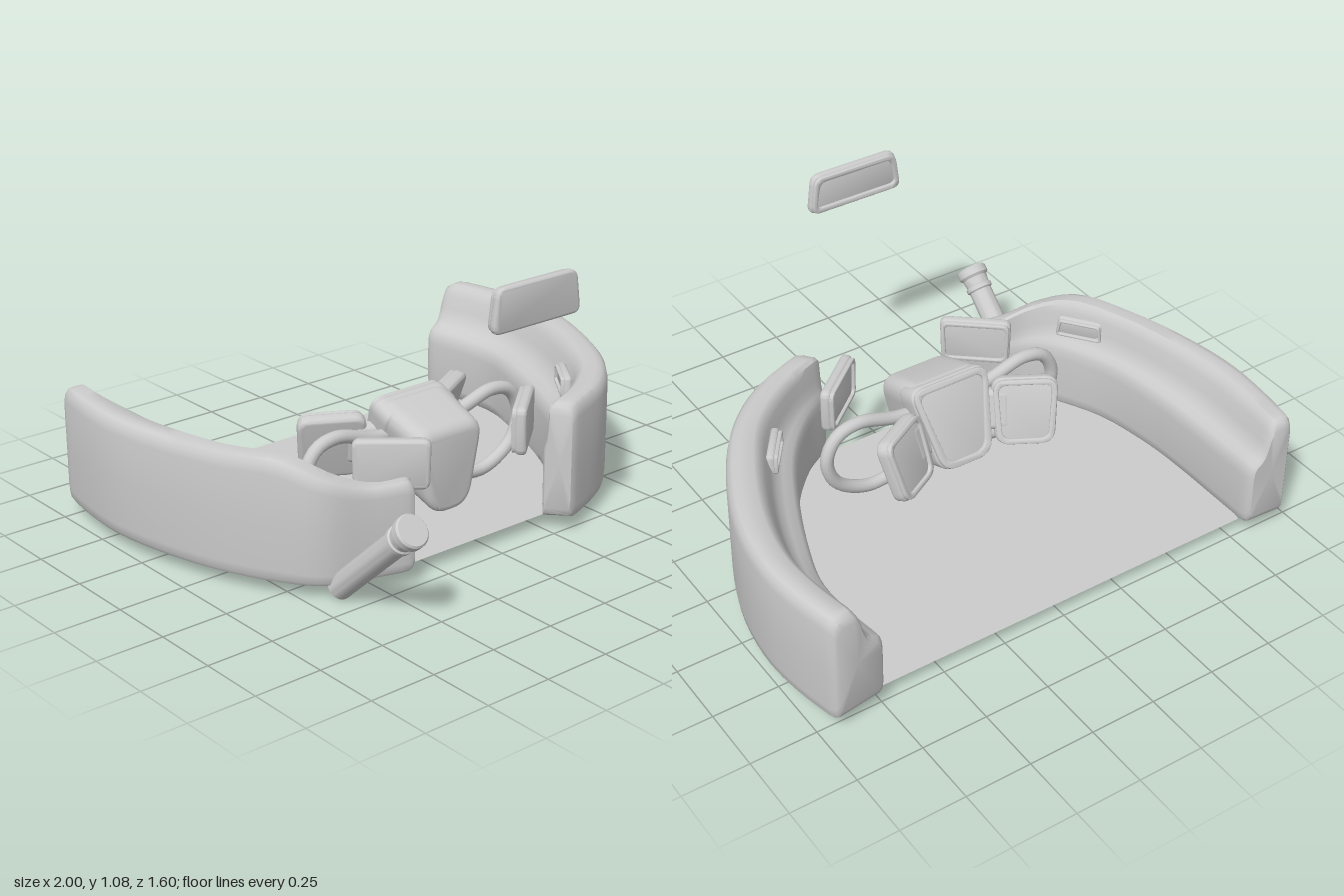
import * as THREE from 'three';
import { toCreasedNormals } from 'three/addons/utils/BufferGeometryUtils.js';
import { RoundedBoxGeometry } from 'three/addons/geometries/RoundedBoxGeometry.js';

const grey = new THREE.MeshStandardMaterial({ color: 0xcccccc });
const greyThin = new THREE.MeshStandardMaterial({ color: 0xcccccc, side: THREE.DoubleSide });
const CX = -0.06; // centre line of the steering column

function part(parent, name, geometry, material = grey) {
  const mesh = new THREE.Mesh(geometry, material);
  mesh.name = name;
  parent.add(mesh);
  return mesh;
}

// Rounded trapezoid outline centred on the origin
function trapezoid(wTop, wBottom, h, r, Type = THREE.Shape) {
  const p = [[-wBottom, -h], [wBottom, -h], [wTop, h], [-wTop, h]]
    .map(([x, y]) => new THREE.Vector2(x / 2, y / 2));
  const shape = new Type();
  p.forEach((c, i) => {
    const toward = (q) => c.clone().add(q.clone().sub(c).setLength(r));
    const a = toward(p[(i + 3) % 4]), b = toward(p[(i + 1) % 4]);
    if (i) shape.lineTo(a.x, a.y); else shape.moveTo(a.x, a.y);
    shape.quadraticCurveTo(c.x, c.y, b.x, b.y);
  });
  shape.closePath();
  return shape;
}

function extrude(shape, depth, bevel) {
  return toCreasedNormals(new THREE.ExtrudeGeometry(shape, {
    depth: depth - 2 * bevel, bevelThickness: bevel, bevelSize: bevel, bevelOffset: -bevel,
    bevelSegments: 4, curveSegments: 8,
  }).translate(0, 0, bevel), 0.6);
}

// Panel with a raised frame around a sunk face looking toward -z
function framedPanel(name, wTop, wBottom, h, r, depth, rim) {
  const group = new THREE.Group();
  group.name = name;
  part(group, 'panelBody', extrude(trapezoid(wTop, wBottom, h, r), depth, Math.min(0.015, depth / 3)));
  const frame = trapezoid(wTop - 0.01, wBottom - 0.01, h - 0.01, r);
  frame.holes.push(trapezoid(wTop - rim * 2, wBottom - rim * 2, h - rim * 2, r * 0.7, THREE.Path));
  part(group, 'panelFrame', extrude(frame, 0.022, 0.004)).position.z = -0.012;
  return group;
}

// Wall section: [0 outer .. 1 inner, 0 bottom .. 1 top]
const section = [
  [0.06, 0], [0.015, 0.03], [0, 0.1], [0, 0.5], [0, 0.88], [0.03, 0.95], [0.1, 0.99], [0.2, 1],
  [0.42, 1], [0.5, 0.97], [0.57, 0.9], [0.63, 0.79], [0.7, 0.7], [0.8, 0.65], [0.92, 0.61],
  [0.98, 0.56], [1, 0.48], [1, 0.1], [0.98, 0.03], [0.92, 0],
];

// Lofted wall; stations are [outerX, outerZ, innerX, innerZ, ridge, topY]
function wallGeometry(stations) {
  const curve = (f) => new THREE.CatmullRomCurve3(stations.map(f));
  const outer = curve((s) => new THREE.Vector3(s[0], s[5], s[1]));
  const inner = curve((s) => new THREE.Vector3(s[2], s[4], s[3]));
  const ts = [0, 0.006, 0.018, 0.035];
  for (let i = 1; i < 28; i++) ts.push(0.035 + 0.93 * i / 28);
  ts.push(0.965, 0.982, 0.994, 1);
  const endScale = [0.82, 0.93, 0.985, 1];
  const pos = [], idx = [], n = section.length, bottom = 0.052;
  const centres = [];
  ts.forEach((t, k) => {
    const o = outer.getPoint(t), q = inner.getPoint(t), ridge = q.y;
    const shrink = endScale[Math.min(k, ts.length - 1 - k, 3)];
    const c = new THREE.Vector3(o.x * 0.55 + q.x * 0.45, bottom + (o.y - bottom) * 0.48, o.z * 0.55 + q.z * 0.45);
    centres.push(c);
    section.forEach(([u, v]) => {
      const f = u < 0.5 ? u * 2 * ridge : ridge + (u - 0.5) * 2 * (1 - ridge);
      const p = new THREE.Vector3(o.x + (q.x - o.x) * f, bottom + (o.y - bottom) * v, o.z + (q.z - o.z) * f);
      p.sub(c).multiplyScalar(shrink).add(c);
      pos.push(p.x, p.y, p.z);
    });
  });
  const last = ts.length - 1, capA = pos.length / 3;
  for (const c of [centres[0], centres[last]]) pos.push(c.x, c.y, c.z);
  for (let j = 0; j < n; j++) {
    const j2 = (j + 1) % n;
    for (let k = 0; k < last; k++) {
      const a = k * n + j, b = k * n + j2;
      idx.push(a, b, a + n, b, b + n, a + n);
    }
    idx.push(capA, j2, j, capA + 1, last * n + j, last * n + j2);
  }
  // Turn the faces outward whichever side the wall is on
  let volume = 0;
  const v = (i) => new THREE.Vector3().fromArray(pos, i * 3);
  for (let i = 0; i < idx.length; i += 3) volume += v(idx[i]).dot(v(idx[i + 1]).cross(v(idx[i + 2])));
  if (volume < 0) idx.reverse();
  const g = new THREE.BufferGeometry();
  g.setAttribute('position', new THREE.Float32BufferAttribute(pos, 3));
  g.setIndex(idx);
  return toCreasedNormals(g, 0.7);
}

export function createModel() {
  const model = new THREE.Group();
  model.name = 'cockpit';

  // Curved side walls
  part(model, 'leftWall', wallGeometry([
    [0.95, -0.80, 0.74, -0.77, 0.46, 0.49], [0.99, -0.6, 0.765, -0.58, 0.46, 0.49],
    [1, -0.42, 0.765, -0.42, 0.46, 0.49], [0.96, -0.18, 0.71, -0.24, 0.46, 0.49],
    [0.85, 0.08, 0.61, 0, 0.47, 0.49], [0.72, 0.28, 0.5, 0.2, 0.5, 0.49],
    [0.55, 0.43, 0.37, 0.35, 0.65, 0.49], [0.30, 0.54, 0.23, 0.45, 0.85, 0.49],
  ]));
  part(model, 'rightWall', wallGeometry([
    [-0.96, -0.79, -0.79, -0.78, 0.5, 0.49], [-0.99, -0.6, -0.79, -0.58, 0.5, 0.49],
    [-1, -0.42, -0.79, -0.4, 0.5, 0.49], [-0.97, -0.2, -0.78, -0.2, 0.52, 0.49],
    [-0.9, 0.05, -0.74, 0.03, 0.55, 0.49], [-0.8, 0.26, -0.65, 0.22, 0.6, 0.49],
    [-0.7, 0.385, -0.585, 0.335, 0.75, 0.43], [-0.55, 0.44, -0.48, 0.385, 0.85, 0.38],
    [-0.39, 0.49, -0.35, 0.42, 0.88, 0.38],
  ]));

  // Flat floor
  const floor = new THREE.Shape();
  floor.moveTo(-0.8, -0.73);
  floor.lineTo(0.76, -0.73);
  floor.splineThru([[0.82, -0.45], [0.77, -0.12], [0.62, 0.16], [0.4, 0.43]].map((p) => new THREE.Vector2(...p)));
  floor.lineTo(-0.5, 0.43);
  floor.splineThru([[-0.7, 0.26], [-0.82, 0], [-0.86, -0.4], [-0.8, -0.73]].map((p) => new THREE.Vector2(...p)));
  part(model, 'floor', new THREE.ShapeGeometry(floor, 10).rotateX(Math.PI / 2), greyThin).position.y = 0.05;

  // Steering wheel: two side loops meeting at the hub
  const half = [[0.18, 0.38], [0.36, 0.425], [0.45, 0.4], [0.495, 0.31], [0.46, 0.2], [0.33, 0.125], [0.15, 0.14]];
  const rim = [...half, ...half.map(([x, y]) => [-x, y]).reverse()]
    .map(([x, y]) => new THREE.Vector3(CX + x, y, 0.105));
  part(model, 'steeringWheel', new THREE.TubeGeometry(new THREE.CatmullRomCurve3(rim, true), 90, 0.025, 12, true));

  // Steering column, tapering and dropping toward the front
  const column = new THREE.ExtrudeGeometry(trapezoid(0.35, 0.2, 0.32, 0.085), {
    depth: 0.16, bevelThickness: 0.03, bevelSize: 0.03, bevelOffset: -0.03, bevelSegments: 5, curveSegments: 10,
  }).translate(0, 0, 0.03);
  const cp = column.attributes.position;
  for (let i = 0; i < cp.count; i++) {
    const t = cp.getZ(i) / 0.22;
    cp.setXY(i, cp.getX(i) * (1 - 0.1 * t), cp.getY(i) - 0.08 * t);
  }
  part(model, 'steeringColumn', toCreasedNormals(column, 0.6)).position.set(CX, 0.345, 0.08);

  // Centre display
  const display = framedPanel('centreDisplay', 0.34, 0.22, 0.34, 0.06, 0.1, 0.03);
  display.position.set(CX, 0.35, 0);
  display.rotation.x = 0.4;
  model.add(display);

  for (const s of [-1, 1]) {
    const side = s > 0 ? 'left' : 'right';
    // Angled side displays with their arms
    const wing = framedPanel(side + 'Display', 0.25, 0.22, 0.26, 0.05, 0.05, 0.025);
    wing.position.set(CX + s * 0.25, 0.33, -0.07);
    wing.rotation.set(0.3, s * 0.52, 0, 'YXZ');
    model.add(wing);
    const arm = part(model, side + 'DisplayArm', new RoundedBoxGeometry(0.16, 0.16, 0.06, 4, 0.025));
    arm.position.set(CX + s * 0.15, 0.33, 0.02);
    arm.rotation.set(0.3, s * 0.5, 0, 'YXZ');

    // Slanted pads in front of the wheel
    const pad = framedPanel(side + 'Pad', 0.27, 0.26, 0.18, 0.03, 0.04, 0.02);
    pad.position.set(CX + s * 0.295, 0.39, 0.325);
    pad.rotation.y = s * 0.7;
    model.add(pad);
  }

  // Vents on the inner slopes of the walls
  for (const [name, x, turn] of [['leftVent', 0.605, 0.94], ['rightVent', -0.72, -0.93]]) {
    const vent = framedPanel(name, 0.17, 0.19, 0.08, 0.012, 0.03, 0.015);
    vent.position.set(x, 0.4, 0.155);
    vent.rotation.y = turn;
    model.add(vent);
  }

  // Floating mirror
  const mirror = framedPanel('mirror', 0.35, 0.39, 0.155, 0.035, 0.03, 0.025);
  mirror.position.set(-0.07, 1.0, 0.697);
  model.add(mirror);

  // Leaning post with a collar and a flanged cap
  const post = part(model, 'post', toCreasedNormals(new THREE.LatheGeometry([
    [0, 0], [0.045, 0], [0.045, 0.41], [0.052, 0.415], [0.052, 0.43], [0.046, 0.435], [0.05, 0.465],
    [0.06, 0.475], [0.06, 0.5], [0.054, 0.507], [0, 0.507],
  ].map((p) => new THREE.Vector2(...p)), 28), 0.6));
  post.position.set(-0.635, 0.035, 0.39);
  post.rotation.x = 0.835;

  return model;
}
